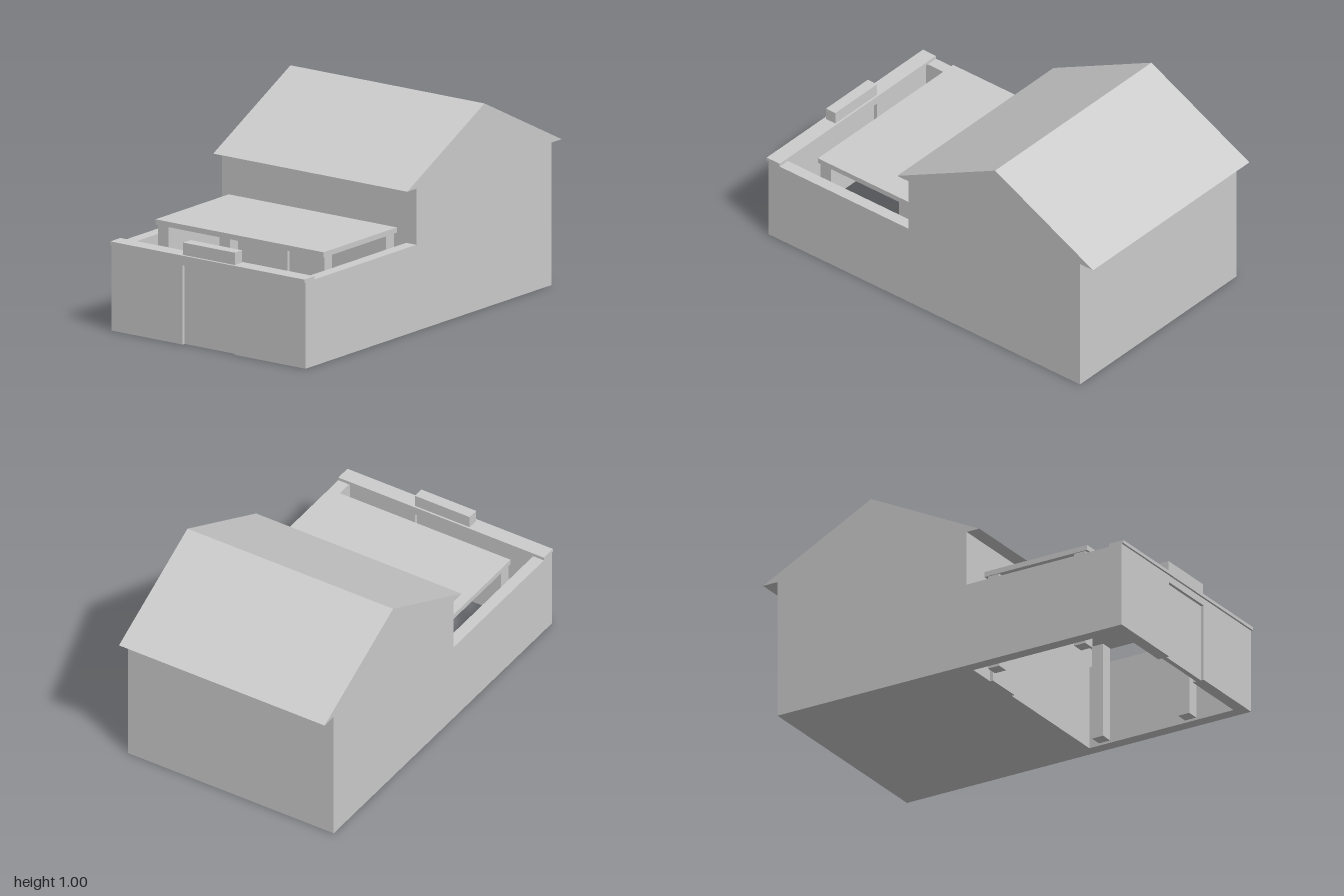
import * as THREE from 'three';

const grey = new THREE.MeshStandardMaterial({ color: 0xcccccc });
grey.name = 'plain grey';

// Box given by its extents on each axis
function block(name, [x0, x1], [y0, y1], [z0, z1]) {
  const mesh = new THREE.Mesh(new THREE.BoxGeometry(x1 - x0, y1 - y0, z1 - z0), grey);
  mesh.name = name;
  mesh.position.set((x0 + x1) / 2, (y0 + y1) / 2, (z0 + z1) / 2);
  return mesh;
}

export function createModel() {
  const model = new THREE.Group();
  model.name = 'courtyardHouse';
  const W = 0.573;      // half width
  const wall = 0.06;    // courtyard wall thickness
  const wallTop = 0.42;
  const gate = 0.153;   // half width of the gateway

  // House body and its front door
  model.add(block('houseBody', [-W, W], [0, 0.693], [-0.92, 0.13]));
  model.add(block('houseDoor', [-0.365, -0.175], [0, 0.452], [0.13, 0.146]));

  // Gable roof: triangular section extruded across the width
  const section = new THREE.Shape([
    new THREE.Vector2(-0.2, 0.693),
    new THREE.Vector2(1.0, 0.693),
    new THREE.Vector2(0.4, 0.995),
  ]);
  const roofGeometry = new THREE.ExtrudeGeometry(section, { depth: 2 * W, bevelEnabled: false });
  roofGeometry.translate(0, 0, -W).rotateY(Math.PI / 2);
  const roof = new THREE.Mesh(roofGeometry, grey);
  roof.name = 'roof';
  model.add(roof);

  // Courtyard walls, with the front wall split by the gateway
  for (const s of [-1, 1]) {
    const span = (a, b) => (s > 0 ? [a, b] : [-b, -a]);
    model.add(block('sideWall', span(W - wall, W), [0, wallTop], [0.13, 0.99]));
    model.add(block('frontWall', span(gate, W - wall), [0, wallTop], [0.93, 0.99]));
  }

  // Gateway: lintel, recessed gate, coping and the block on top
  model.add(block('gateLintel', [-gate, gate], [0.385, wallTop], [0.93, 0.99]));
  model.add(block('gate', [-gate, gate], [0, 0.385], [0.95, 0.975]));
  model.add(block('frontCoping', [-W, W], [wallTop, 0.436], [0.92, 1.0]));
  model.add(block('gateBlock', [-gate, gate], [0.436, 0.496], [0.93, 0.987]));

  // Canopy on four posts standing in the open courtyard
  const canopy = new THREE.Group();
  canopy.name = 'canopy';
  canopy.add(block('canopyTop', [-0.496, 0.496], [0.477, 0.503], [0.18, 0.75]));
  for (const x of [-0.46, 0.46]) {
    for (const z of [0.228, 0.706]) {
      canopy.add(block('canopyPost', [x - 0.031, x + 0.031], [0, 0.477], [z - 0.031, z + 0.031]));
    }
  }
  model.add(canopy);

  return model;
}
